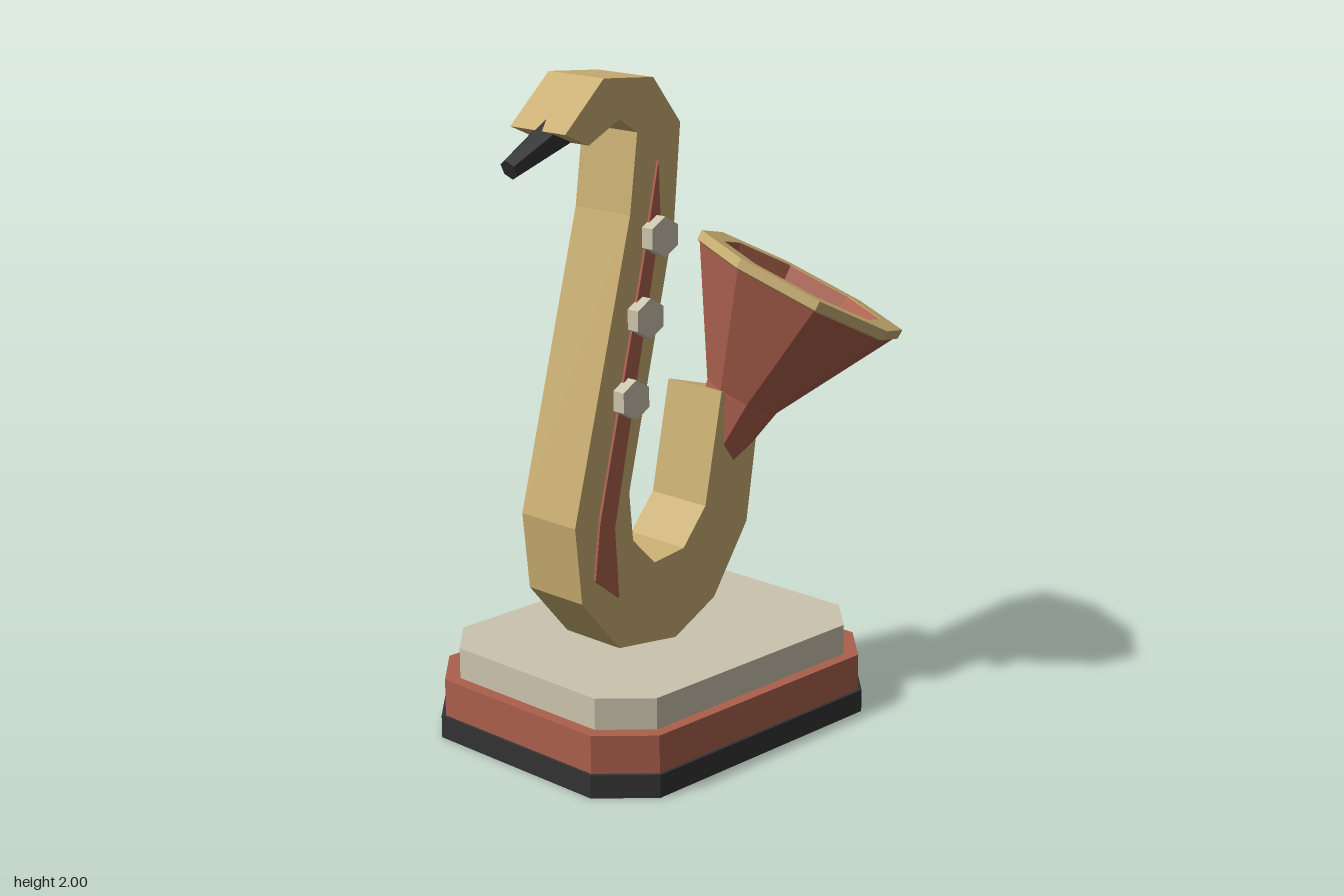
import * as THREE from 'three';

const paint = (name, color) => {
  const m = new THREE.MeshStandardMaterial({ color });
  m.name = name;
  return m;
};

// Faceted look: split vertices so every face has its own normal
const faceted = (geometry) => {
  const g = geometry.index ? geometry.toNonIndexed() : geometry;
  g.computeVertexNormals();
  return g;
};

const toShape = (points) => new THREE.Shape(points.map(([x, y]) => new THREE.Vector2(x, y)));

const slab = (points, depth) =>
  new THREE.ExtrudeGeometry(toShape(points), { depth, bevelEnabled: false });

export function createModel() {
  const model = new THREE.Group();
  model.name = 'saxophoneTrophy';
  const brass = paint('brass', 0xc9ae72);
  const red = paint('brick red', 0xaa5f4c);
  const ivory = paint('ivory', 0xcbc3ad);
  const black = paint('black', 0x333333);

  const add = (name, geometry, material, parent = model) => {
    const mesh = new THREE.Mesh(faceted(geometry), material);
    mesh.name = name;
    parent.add(mesh);
    return mesh;
  };

  // Stepped plinth with cut corners: half width, half depth, corner cut, bottom, top
  const tiers = [
    ['plinthFoot', 0.585, 0.46, 0.14, 0, 0.07, black],
    ['plinthMiddle', 0.575, 0.45, 0.138, 0.07, 0.185, red],
    ['plinthTop', 0.535, 0.413, 0.125, 0.185, 0.28, ivory],
  ];
  for (const [name, w, d, c, y0, y1, material] of tiers) {
    const outline = [
      [-w + c, -d], [w - c, -d], [w, -d + c], [w, d - c],
      [w - c, d], [-w + c, d], [-w, d - c], [-w, -d + c],
    ];
    const tier = add(name, slab(outline, y1 - y0).rotateX(-Math.PI / 2), material);
    tier.position.set(-0.095, y0, -0.03);
  }

  // Curved body: neck, straight tube, bow and bell arm
  const body = add('body', slab([
    [-0.55, 1.86], [-0.46, 1.82], [-0.34, 1.88], [-0.27, 1.835], [-0.30, 1.6],
    [-0.53, 0.72], [-0.505, 0.485], [-0.355, 0.31], [-0.115, 0.28], [0.055, 0.365],
    [0.2, 0.575], [0.26, 0.96], [0.085, 1.01], [0.015, 0.665], [-0.08, 0.555],
    [-0.205, 0.54], [-0.295, 0.63], [-0.31, 0.78], [-0.12, 1.56], [-0.095, 1.845],
    [-0.205, 1.985], [-0.40, 2.0],
  ], 0.222), brass);
  body.position.z = -0.14;

  // Key strip on the front of the body
  const strip = add('keyStrip', slab([
    [-0.193, 1.745], [-0.255, 1.46], [-0.437, 0.72], [-0.458, 0.546],
    [-0.363, 0.472], [-0.378, 0.69], [-0.185, 1.57],
  ], 0.009), red);
  strip.position.z = 0.082;

  // Hexagonal keys
  for (let i = 0; i < 3; i++) {
    const key = add('key', new THREE.CylinderGeometry(0.06, 0.06, 0.043, 6).rotateX(Math.PI / 2), ivory);
    key.position.set(-0.2 - 0.06 * i, 1.53 - 0.23 * i, 0.1025);
  }

  // Tapered mouthpiece
  const tip = new THREE.Vector3(-0.662, 1.764, -0.025);
  const root = new THREE.Vector3(-0.445, 1.867, -0.025);
  const mouthpiece = add('mouthpiece',
    new THREE.CylinderGeometry(0.058, 0.031, tip.distanceTo(root), 6).rotateY(Math.PI / 2), black);
  mouthpiece.position.copy(tip).lerp(root, 0.5);
  mouthpiece.rotation.z = Math.atan2(root.y - tip.y, root.x - tip.x) - Math.PI / 2;

  // Eight-sided bell, tilted towards the front left; its origin is the rim centre
  const bell = new THREE.Group();
  bell.name = 'bell';
  const axis = new THREE.Vector3(0.42, 1, 0.31).normalize();
  const side = new THREE.Vector3(0.225, -0.014, -0.26);
  side.addScaledVector(axis, -side.dot(axis)).normalize();
  const basis = new THREE.Matrix4().makeBasis(side, axis, side.clone().cross(axis));
  bell.quaternion.setFromRotationMatrix(basis);
  bell.position.set(0.355, 1.32, 0.165);
  model.add(bell);

  const lathe = (points) =>
    new THREE.LatheGeometry(points.map(([r, y]) => new THREE.Vector2(r, y)), 8);
  add('bellOutside', lathe([[0.08, -0.58], [0.12, -0.4], [0.335, -0.035]]), red, bell);
  add('bellInside', lathe([[0.27, -0.002], [0.1, -0.4], [0.06, -0.58]]), red, bell);
  add('bellRim', lathe([[0.335, -0.035], [0.346, -0.03], [0.346, 0], [0.27, 0], [0.27, -0.002]]), brass, bell);

  return model;
}
